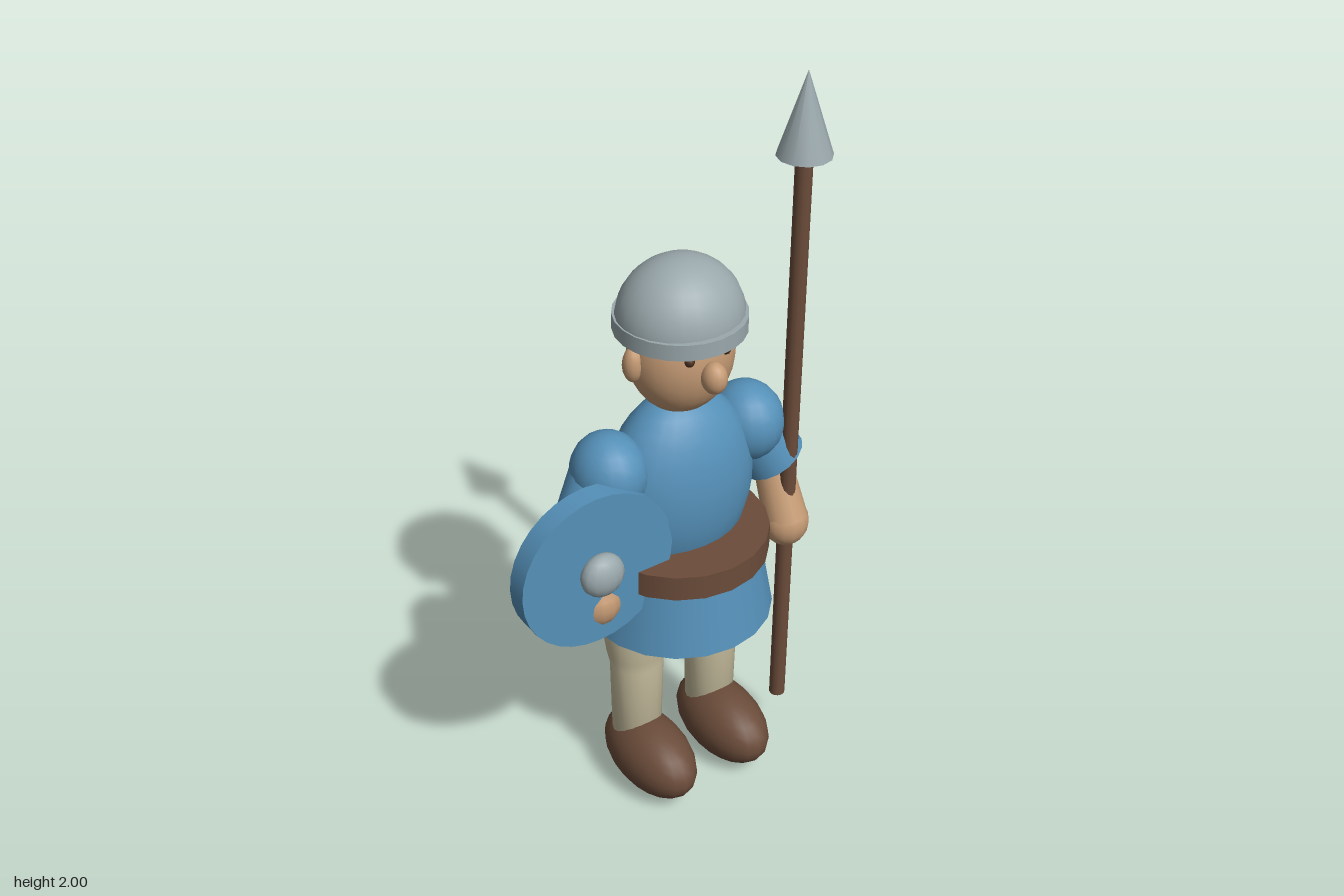
import * as THREE from 'three';

const mat = (name, color) => {
  const m = new THREE.MeshStandardMaterial({ color });
  m.name = name;
  return m;
};

export function createModel() {
  const blue = mat('blue cloth', 0x5590b8);
  const skin = mat('skin', 0xc49a74);
  const steel = mat('steel', 0x9aa8ac);
  const leather = mat('brown leather', 0x6b4c3a);
  const linen = mat('linen', 0xc8bf9f);
  const dark = mat('dark eye', 0x4a2e1e);

  const root = new THREE.Group();
  root.name = 'guard';
  const body = new THREE.Group();
  body.name = 'body';
  body.position.x = 0.083;
  root.add(body);

  const add = (parent, name, geo, material, x, y, z) => {
    const m = new THREE.Mesh(geo, material);
    m.name = name;
    m.position.set(x, y, z);
    parent.add(m);
    return m;
  };
  const ball = (parent, name, material, [x, y, z], [rx, ry, rz], seg = 20) =>
    add(parent, name, new THREE.SphereGeometry(1, seg, Math.round(seg * 0.7)).scale(rx, ry, rz), material, x, y, z);

  // tapered limb between two points
  const limb = (parent, name, material, a, b, ra, rb) => {
    const p = new THREE.Vector3(...a), q = new THREE.Vector3(...b);
    const dir = q.clone().sub(p);
    const mid = p.add(q).multiplyScalar(0.5);
    const m = add(parent, name, new THREE.CylinderGeometry(rb, ra, dir.length(), 16), material, mid.x, mid.y, mid.z);
    m.quaternion.setFromUnitVectors(new THREE.Vector3(0, 1, 0), dir.normalize());
    return m;
  };

  // tunic and belt
  ball(body, 'tunicTorso', blue, [0, 0.94, 0], [0.21, 0.27, 0.143], 24);
  add(body, 'tunicSkirt', new THREE.CylinderGeometry(0.217, 0.252, 0.19, 20), blue, 0, 0.65, 0);
  add(body, 'belt', new THREE.CylinderGeometry(0.238, 0.238, 0.07, 20), leather, 0, 0.77, 0);

  // head
  ball(body, 'head', skin, [0, 1.33, 0.005], [0.138, 0.163, 0.125], 24);
  ball(body, 'nose', skin, [0, 1.317, 0.143], [0.032, 0.042, 0.035], 14);

  // helmet
  const dome = new THREE.SphereGeometry(1, 24, 10, 0, Math.PI * 2, 0, Math.PI / 2).scale(0.163, 0.157, 0.152);
  add(body, 'helmetDome', dome, steel, 0, 1.42, 0);
  add(body, 'helmetRim', new THREE.CylinderGeometry(0.166, 0.166, 0.042, 24), steel, 0, 1.413, 0);

  // leg outline: straight shin below a fuller thigh
  const legProfile = [[0, 0.15], [0.07, 0.15], [0.075, 0.39], [0.084, 0.43], [0.092, 0.49], [0.097, 0.56], [0.09, 0.62], [0, 0.62]]
    .map(([r, y]) => new THREE.Vector2(r, y));

  for (const [s, side] of [[1, 'left'], [-1, 'right']]) {
    ball(body, side + 'Ear', skin, [s * 0.141, 1.333, 0.005], [0.026, 0.047, 0.027], 12);
    ball(body, side + 'Eye', dark, [s * 0.053, 1.365, 0.115], [0.013, 0.013, 0.013], 10);

    // arm
    const arm = new THREE.Group();
    arm.name = side + 'Arm';
    body.add(arm);
    ball(arm, 'shoulder', blue, [s * 0.21, 1.045, 0], [0.097, 0.108, 0.105], 18);
    limb(arm, 'sleeve', blue, [s * 0.21, 1.06, -0.02], [s * 0.288, 0.912, 0.016], 0.08, 0.089);
    limb(arm, 'forearm', skin, [s * 0.29, 0.93, -0.005], [s * 0.298, 0.735, 0.074], 0.048, 0.06);
    ball(arm, 'hand', skin, [s * 0.298, 0.73, 0.074], [0.063, 0.069, 0.06], 14);

    // leg and shoe
    const leg = add(body, side + 'Leg', new THREE.LatheGeometry(legProfile, 18), linen, s * 0.122, 0, -0.013);
    leg.scale.z = 0.88;
    ball(body, side + 'Shoe', leather, [s * 0.122, 0.104, 0.052], [0.098, 0.104, 0.175], 20);
  }

  // spear in the left hand
  const spear = new THREE.Group();
  spear.name = 'spear';
  spear.position.set(0.38, 0, 0.075);
  root.add(spear);
  add(spear, 'spearShaft', new THREE.CylinderGeometry(0.022, 0.022, 1.67, 12), leather, 0, 0.965, 0);
  add(spear, 'spearHead', new THREE.ConeGeometry(0.069, 0.21, 12), steel, 0, 1.895, 0);

  // round shield on the right arm
  const shield = new THREE.Group();
  shield.name = 'shield';
  shield.position.set(-0.237, 0.86, 0.09);
  root.add(shield);
  add(shield, 'shieldDisc', new THREE.CylinderGeometry(0.218, 0.218, 0.058, 32).rotateX(Math.PI / 2), blue, 0, 0, 0);
  ball(shield, 'shieldBoss', steel, [0, 0, 0.045], [0.06, 0.06, 0.04], 14);

  return root;
}
